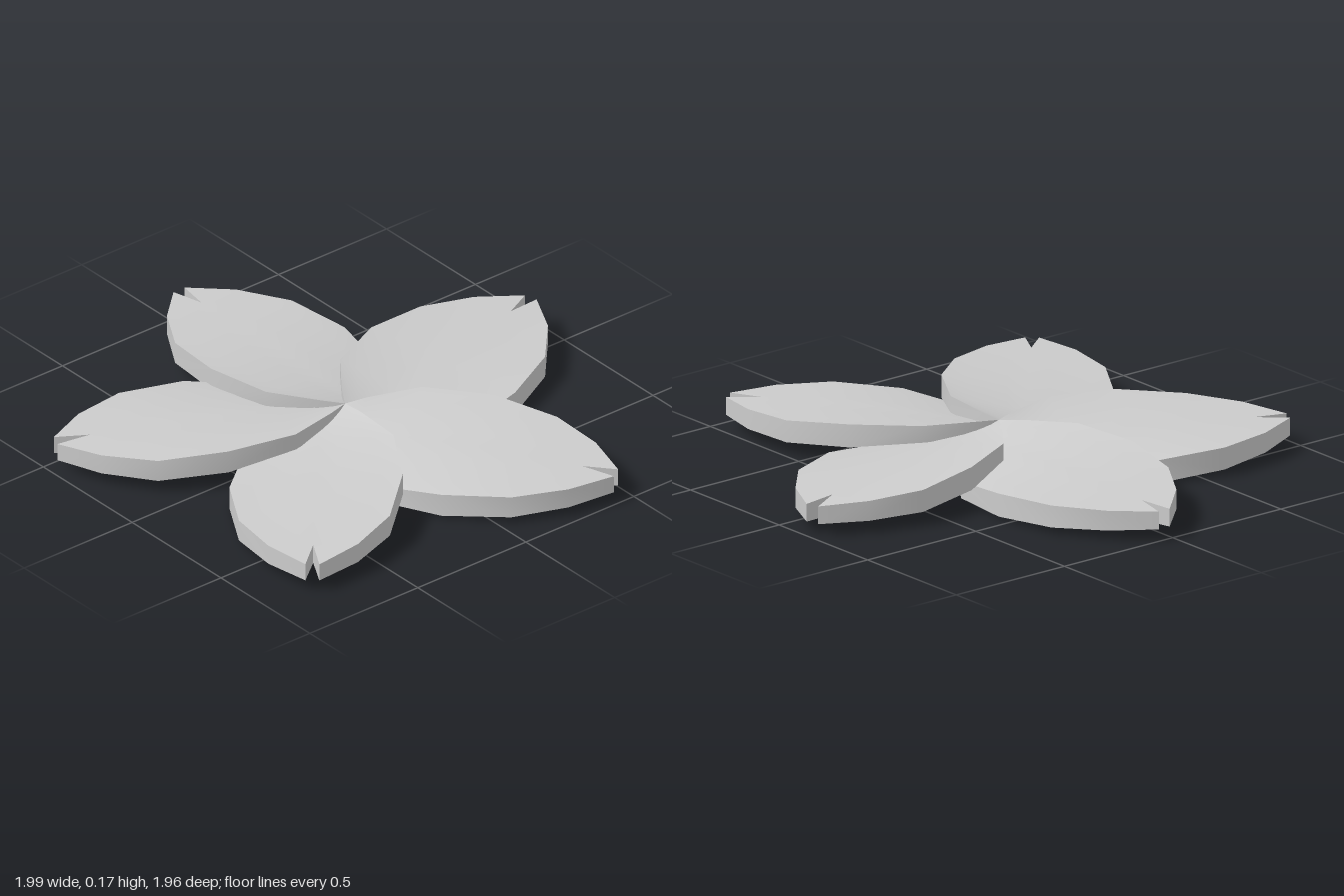
import * as THREE from 'three';
import { toCreasedNormals } from 'three/addons/utils/BufferGeometryUtils.js';

// petal cross-sections: [distance along petal, half width, underside height, edge rise, thickness]
const STATIONS = [
  [-0.09, 0, 0.06, 0, 0.05],
  [0, 0.092, 0.06, 0.04, 0.057],
  [0.065, 0.15, 0.056, 0.046, 0.06],
  [0.23, 0.27, 0.052, 0.052, 0.063],
  [0.49, 0.31, 0.04, 0.032, 0.087],
  [0.74, 0.27, 0.038, 0.014, 0.083],
  [0.92, 0.16, 0.042, 0.006, 0.075],
  [1.047, 0.025, 0.045, 0, 0.067],
];
const COLS = 4;
const LAST = STATIONS.length - 1;
const AXIS_OFFSET = 0.092; // petal axes pass beside the flower's centre, giving the pinwheel overlap
const PETAL_STEP = THREE.MathUtils.degToRad(73.6); // slightly uneven spread: the last gap is narrower

// point of one petal half; t runs from the midline (0) to the edge (1)
function petalPoint(i, t, side, top) {
  let [u, w, base, rise, thick] = STATIONS[i];
  if (i === LAST) {
    // the last row runs from the bottom of the notch out to the prong
    const p = STATIONS[LAST - 1];
    u = THREE.MathUtils.lerp(p[0], u, t);
    base = THREE.MathUtils.lerp(p[2], base, t);
    thick = THREE.MathUtils.lerp(p[4], thick, t);
  }
  const y = base + side * rise * t + (top ? thick : 0);
  return [-u, y, side * w * t - AXIS_OFFSET];
}

function petalGeometry() {
  const pos = [];
  for (const side of [1, -1]) {
    const quad = (a, b, c, d) => {
      const q = side > 0 ? [a, b, c, a, c, d] : [a, c, b, a, d, c];
      q.forEach((p) => pos.push(...p));
    };
    const wall = (i0, t0, i1, t1) =>
      quad(petalPoint(i0, t0, side, true), petalPoint(i1, t1, side, true),
        petalPoint(i1, t1, side, false), petalPoint(i0, t0, side, false));

    for (let i = 0; i < LAST; i++) {
      for (let j = 0; j < COLS; j++) {
        const t0 = j / COLS, t1 = (j + 1) / COLS;
        const corners = (top) => [
          petalPoint(i, t0, side, top), petalPoint(i + 1, t0, side, top),
          petalPoint(i + 1, t1, side, top), petalPoint(i, t1, side, top),
        ];
        quad(...corners(true));
        quad(...corners(false).reverse());
      }
      wall(i, 1, i + 1, 1); // outer rim
    }
    wall(LAST, 1, LAST, 0); // notch side
  }
  const geo = new THREE.BufferGeometry();
  geo.setAttribute('position', new THREE.Float32BufferAttribute(pos, 3));
  return toCreasedNormals(geo, THREE.MathUtils.degToRad(40));
}

export function createModel() {
  const flower = new THREE.Group();
  flower.name = 'flower';
  const material = new THREE.MeshStandardMaterial({ color: 0xcccccc });
  const geometry = petalGeometry();

  // five overlapping petals, clockwise from the one pointing right
  for (let k = 0; k < 5; k++) {
    const petal = new THREE.Mesh(geometry, material);
    petal.name = `petal${k + 1}`;
    petal.rotation.y = -k * PETAL_STEP;
    petal.position.set(0.047, 0, 0.053);
    flower.add(petal);
  }
  return flower;
}
